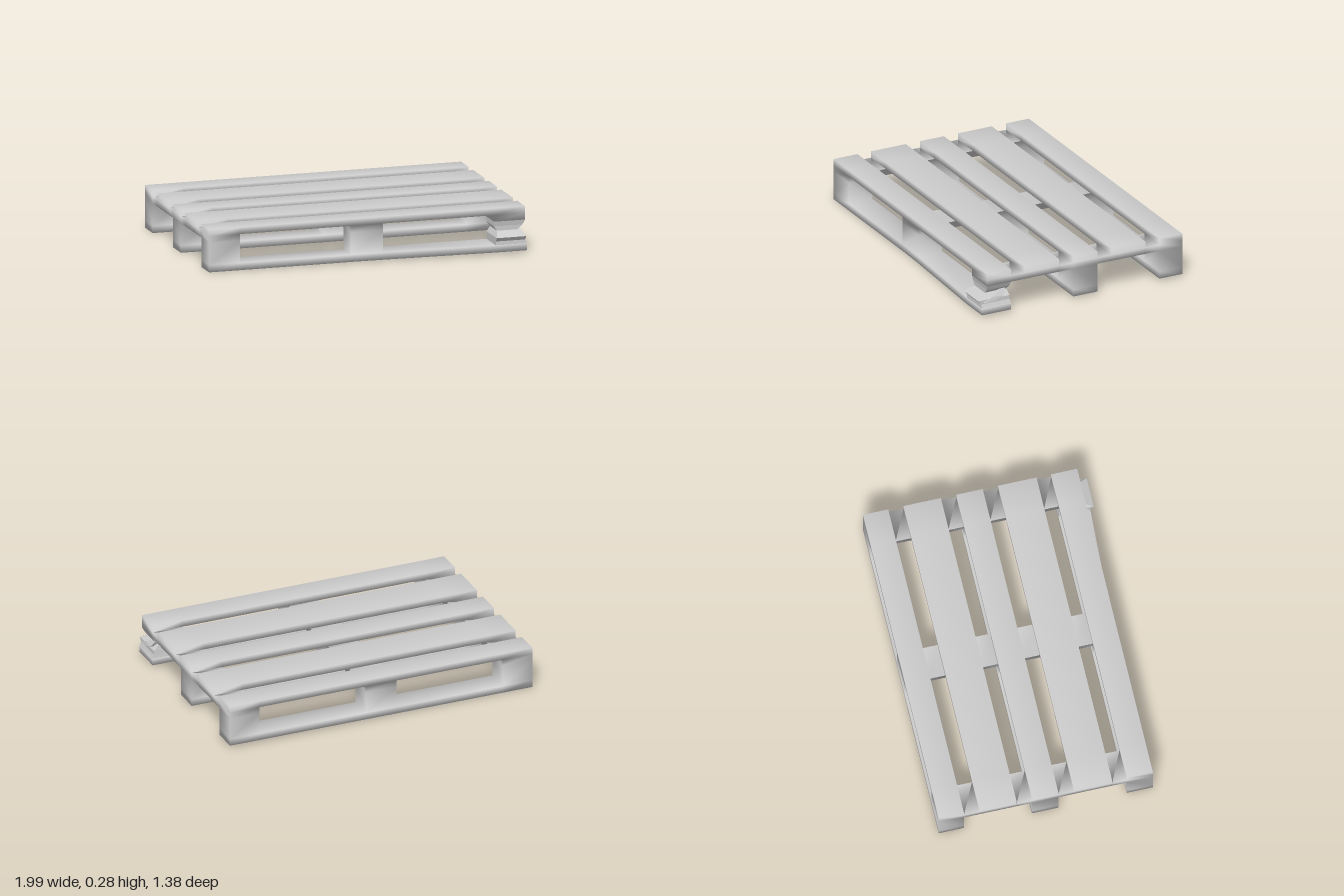
import * as THREE from 'three';

// Grid lines between which the pallet's timbers lie
const X = [-0.995, -0.8, -0.1, 0.1, 0.8, 0.995];
const Y = [0.008, 0.052, 0.19, 0.23, 0.272];
const Z = [-0.685, -0.53, -0.435, -0.205, -0.11, 0.053, 0.148, 0.385, 0.475, 0.636];
const GRID = [X, Y, Z];
const LAYERS = ['bottomRunners', 'blocks', 'stringers', 'topBoards'];

// Which grid cells are wood, layer by layer
function solid([i, j, k]) {
  if (i < 0 || i > 4 || k < 0 || k > 8) return false;
  const column = i % 2 === 0, row = k % 4 === 0;
  if (j === 0) return row;
  if (j === 1) return row && column && !(i === 4 && k === 8); // broken corner is separate
  if (j === 2) return column;
  return j === 3 && k % 2 === 0;
}

// Slightly racked frame, with the front runner knocked outward at one end
function warp(x, y, z) {
  if (z > 0.6 && y < 0.06 && x > 0.05) z += 0.035 * Math.min(1, x / 0.8);
  return new THREE.Vector3(x, y + 0.008 * x, z - 0.006 * x);
}

// Exposed timber faces, sharing averaged normals across all parts
function timberMeshes(material) {
  const normals = new Map();
  const parts = LAYERS.map(() => []);
  for (let i = 0; i < 5; i++) for (let j = 0; j < 4; j++) for (let k = 0; k < 9; k++) {
    const cell = [i, j, k];
    if (!solid(cell)) continue;
    for (let a = 0; a < 3; a++) for (const side of [0, 1]) {
      const next = [...cell];
      next[a] += side ? 1 : -1;
      if (solid(next)) continue;
      const corners = [[0, 0], [1, 0], [1, 1], [0, 1]].map(([u, v]) => {
        const c = [...cell];
        c[a] += side;
        c[(a + 1) % 3] += u;
        c[(a + 2) % 3] += v;
        return { key: c.join(), p: warp(...c.map((n, axis) => GRID[axis][n])) };
      });
      if (!side) corners.reverse();
      const [A, B, C, D] = corners;
      for (const tri of [[A, B, C], [A, C, D]]) {
        const n = tri[1].p.clone().sub(tri[0].p).cross(tri[2].p.clone().sub(tri[0].p));
        for (const c of tri) {
          if (!normals.has(c.key)) normals.set(c.key, new THREE.Vector3());
          normals.get(c.key).add(n);
          parts[j].push(c);
        }
      }
    }
  }
  normals.forEach((n) => n.normalize());
  return parts.map((list, j) => {
    const g = new THREE.BufferGeometry();
    g.setAttribute('position', new THREE.Float32BufferAttribute(list.flatMap((c) => c.p.toArray()), 3));
    g.setAttribute('normal', new THREE.Float32BufferAttribute(list.flatMap((c) => normals.get(c.key).toArray()), 3));
    const mesh = new THREE.Mesh(g, material);
    mesh.name = LAYERS[j];
    return mesh;
  });
}

// Closed loft through rectangles [y, x0, x1, z0, z1], listed from bottom to top
function loft(name, sections, material) {
  const pos = [], index = [];
  for (const [y, x0, x1, z0, z1] of sections) {
    for (const [x, z] of [[x0, z1], [x1, z1], [x1, z0], [x0, z0]]) {
      pos.push(x, y + 0.008 * x, z - 0.006 * x);
    }
  }
  for (let s = 0; s < sections.length - 1; s++) for (let e = 0; e < 4; e++) {
    const a = s * 4 + e, b = s * 4 + (e + 1) % 4;
    index.push(a, b, b + 4, a, b + 4, a + 4);
  }
  const t = (sections.length - 1) * 4;
  index.push(0, 2, 1, 0, 3, 2, t, t + 1, t + 2, t, t + 2, t + 3);
  const g = new THREE.BufferGeometry();
  g.setAttribute('position', new THREE.Float32BufferAttribute(pos, 3));
  g.setIndex(index);
  g.computeVertexNormals();
  const mesh = new THREE.Mesh(g, material);
  mesh.name = name;
  return mesh;
}

export function createModel() {
  const group = new THREE.Group();
  group.name = 'pallet';
  const wood = new THREE.MeshStandardMaterial({ color: 0xcccccc });
  const splintered = new THREE.MeshStandardMaterial({ color: 0xcccccc, flatShading: true });
  group.add(...timberMeshes(wood));

  // Crushed corner block: pinched at the break, lower half pushed forward
  group.add(loft('brokenBlock', [
    [0.052, 0.8, 0.995, 0.475, 0.671],
    [0.075, 0.8, 0.985, 0.478, 0.67],
    [0.1, 0.8, 0.985, 0.48, 0.692],
    [0.132, 0.82, 0.95, 0.485, 0.63],
    [0.16, 0.8, 0.98, 0.477, 0.63],
    [0.19, 0.8, 0.995, 0.475, 0.636],
  ], splintered));

  // Splinter sticking out of the break
  group.add(loft('splinter', [
    [0.085, 0.9, 0.995, 0.6, 0.655],
    [0.11, 0.9, 0.99, 0.52, 0.6],
    [0.145, 0.9, 0.97, 0.5, 0.53],
  ], splintered));
  return group;
}
